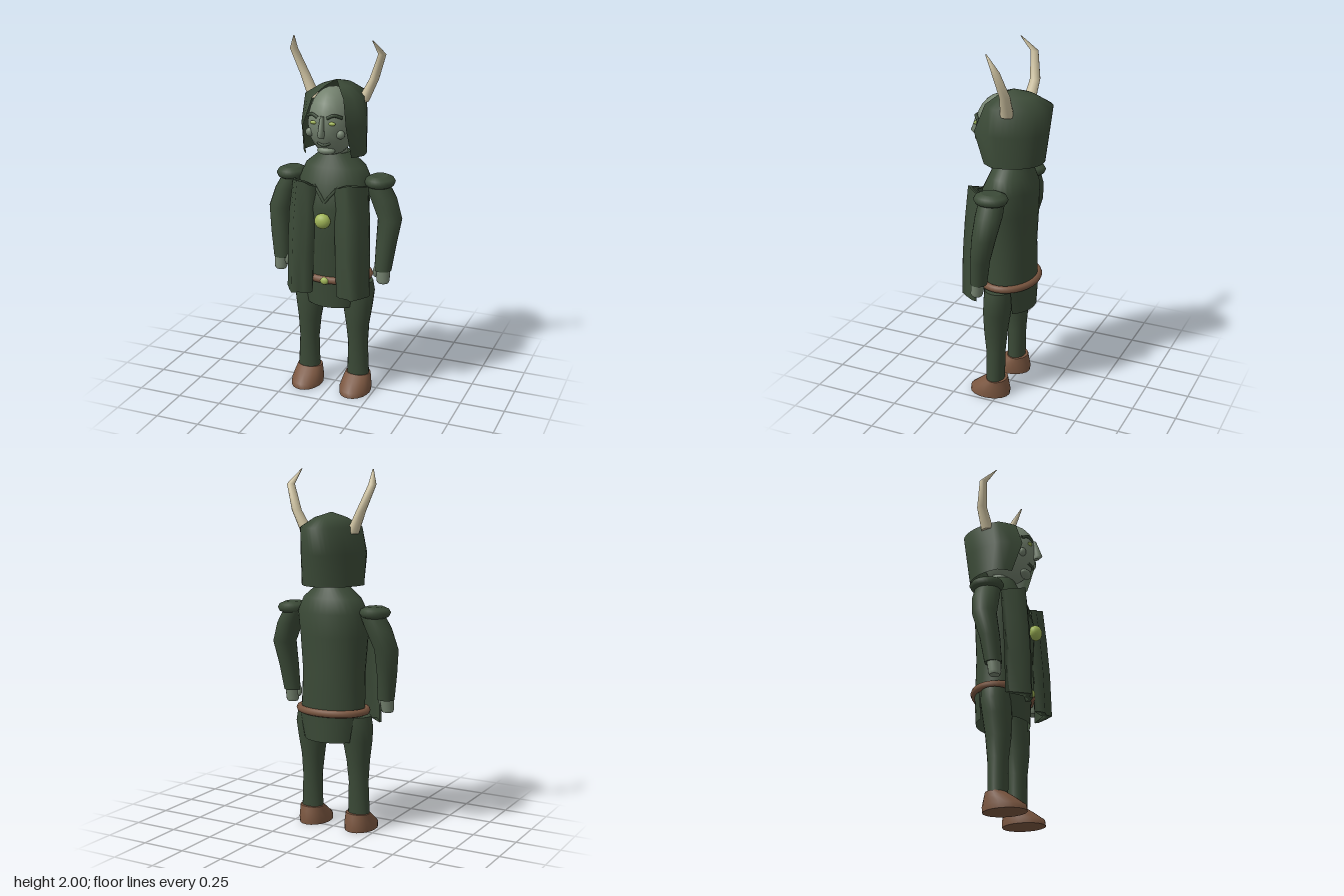
import * as THREE from 'three';

const mat = (name, color, side = THREE.FrontSide) => {
  const m = new THREE.MeshStandardMaterial({ color, side });
  m.name = name;
  return m;
};

// Skin a surface over rows of points (bottom to top); closed rows also get end caps
function loft(rows, closed = true) {
  const n = rows[0].length, pos = [], idx = [];
  const add = (p) => pos.push(p.x, p.y, p.z) / 3 - 1;
  rows.forEach((r) => r.forEach(add));
  for (let i = 0; i < rows.length - 1; i++) {
    for (let j = 0; j < (closed ? n : n - 1); j++) {
      const k = (j + 1) % n, a = i * n + j, b = i * n + k, c = b + n, d = a + n;
      idx.push(a, d, c, a, c, b);
    }
  }
  if (closed) {
    [rows[0], rows[rows.length - 1]].forEach((row, top) => {
      const mid = new THREE.Vector3();
      row.forEach((p) => mid.addScaledVector(p, 1 / n));
      const c = add(mid), first = c + 1;
      row.forEach(add);
      for (let j = 0; j < n; j++) {
        const a = first + j, b = first + (j + 1) % n;
        if (top) idx.push(c, b, a); else idx.push(c, a, b);
      }
    });
  }
  const g = new THREE.BufferGeometry();
  g.setAttribute('position', new THREE.Float32BufferAttribute(pos, 3));
  g.setIndex(idx);
  g.computeVertexNormals();
  return g;
}

const V = (x, y, z) => new THREE.Vector3(x, y, z);

// Stack of horizontal ellipses: [y, centre x, centre z, radius x, radius z]
const stack = (rows, s = 1, n = 20) => loft(rows.map(([y, cx, cz, rx, rz]) =>
  Array.from({ length: n }, (_, j) => {
    const t = (j / n) * Math.PI * 2;
    return V(s * cx + rx * Math.cos(t), y, cz + rz * Math.sin(t));
  })));

export function createModel() {
  const model = new THREE.Group();
  model.name = 'hornedFigure';
  const cloth = mat('dark green cloth', 0x3b4a37, THREE.DoubleSide);
  const skin = mat('grey green skin', 0x74826f);
  const leather = mat('brown leather', 0x7a5640);
  const horn = mat('bone horn', 0xcfc3a2);
  const glow = mat('yellow green', 0x9fb457);

  const put = (name, geo, material, x = 0, y = 0, z = 0) => {
    const m = new THREE.Mesh(geo, material);
    m.name = name;
    m.position.set(x, y, z);
    model.add(m);
    return m;
  };
  const blob = (name, material, x, y, z, rx, ry, rz) =>
    put(name, new THREE.SphereGeometry(1, 20, 14).scale(rx, ry, rz), material, x, y, z);
  const tube = (name, material, pts, r) =>
    put(name, new THREE.TubeGeometry(new THREE.CatmullRomCurve3(pts), 12, r, 8), material);

  // Torso
  put('torso', stack([
    [0.6, 0, 0, 0.13, 0.09], [0.65, 0, 0, 0.18, 0.135], [0.7, 0, 0, 0.185, 0.145],
    [0.9, 0, 0.01, 0.18, 0.152], [1.1, 0, 0.012, 0.195, 0.162], [1.23, 0, -0.005, 0.205, 0.145],
    [1.31, 0, -0.01, 0.17, 0.112], [1.385, 0, -0.008, 0.08, 0.076],
  ], 1, 32), cloth);

  // Belt, buckle, brooch and neckline
  put('belt', new THREE.TorusGeometry(1, 0.022, 10, 48), leather);
  const belt = model.children[model.children.length - 1].geometry;
  belt.dispose();
  const loop = Array.from({ length: 32 }, (_, j) => {
    const t = (j / 32) * Math.PI * 2;
    return V(0.195 * Math.cos(t), 0.685, 0.148 * Math.sin(t));
  });
  model.children[model.children.length - 1].geometry =
    new THREE.TubeGeometry(new THREE.CatmullRomCurve3(loop, true), 48, 0.021, 8, true);
  blob('buckle', glow, 0, 0.685, 0.166, 0.024, 0.02, 0.014);
  blob('brooch', glow, 0, 1.04, 0.19, 0.045, 0.042, 0.035);
  for (const s of [-1, 1]) {
    tube('neckline', cloth, [V(s * 0.07, 1.22, 0.132), V(s * 0.035, 1.18, 0.15), V(0, 1.135, 0.163)], 0.008);
  }

  // Front and back skirt panels
  for (const [name, mid] of [['frontSkirt', Math.PI / 2], ['backSkirt', -Math.PI / 2]]) {
    const row = (y, rx, rz) => Array.from({ length: 13 }, (_, j) => {
      const t = mid + (j / 12 - 0.5) * 2.1;
      return V(rx * Math.cos(t), y, rz * Math.sin(t));
    });
    put(name, loft([row(0.52, 0.165, 0.143), row(0.69, 0.2, 0.148)], false), cloth);
  }

  for (const s of [-1, 1]) {
    const side = s > 0 ? 'left' : 'right';

    // Legs and boots
    put(side + 'Leg', stack([
      [0.08, 0.15, 0.027, 0.064, 0.05], [0.28, 0.148, 0.026, 0.056, 0.055], [0.4, 0.145, 0.027, 0.065, 0.068],
      [0.52, 0.143, 0.02, 0.085, 0.078], [0.6, 0.14, 0.012, 0.096, 0.082], [0.66, 0.13, 0.01, 0.095, 0.08],
    ], s), cloth);
    put(side + 'Boot', stack([
      [0, 0.147, 0.063, 0.087, 0.118], [0.03, 0.147, 0.06, 0.088, 0.117],
      [0.07, 0.147, 0.038, 0.08, 0.086], [0.1, 0.148, 0.02, 0.072, 0.06],
    ], s), leather);

    // Arm, shoulder cap and hand
    put(side + 'Arm', stack([
      [0.755, 0.3, 0.055, 0.047, 0.045], [0.9, 0.312, 0.04, 0.056, 0.054], [1.04, 0.322, 0.012, 0.066, 0.066],
      [1.15, 0.28, 0.002, 0.072, 0.074], [1.24, 0.235, 0, 0.065, 0.07],
    ], s), cloth);
    put(side + 'ShoulderCap', stack([
      [1.208, 0.258, 0, 0.05, 0.06], [1.22, 0.258, 0, 0.074, 0.085], [1.24, 0.258, 0, 0.083, 0.095],
      [1.258, 0.257, 0, 0.074, 0.085], [1.272, 0.255, 0, 0.045, 0.055],
    ], s, 28), cloth);
    put(side + 'Hand', stack([
      [0.685, 0.305, 0.065, 0.03, 0.028], [0.7, 0.305, 0.065, 0.037, 0.034], [0.77, 0.303, 0.058, 0.04, 0.036],
    ], s, 14), skin);
    blob(side + 'Thumb', skin, s * 0.263, 0.745, 0.07, 0.015, 0.032, 0.016);

    // Folded cloak panel hanging in front of the shoulder
    const panel = (y, inner, outer, z, slope) => {
      const folds = [-0.02, 0.005, 0, 0.022, -0.022, -0.075];
      const front = folds.map((f, j) => V(s * (inner + (outer - inner) * j / 5), y - slope * Math.abs(j - 3), z + f));
      const back = front.map((p) => V(p.x, p.y, p.z - 0.024)).reverse();
      const ring = [...front, ...back];
      return s > 0 ? ring.reverse() : ring;
    };
    put(side + 'CloakPanel', loft([
      panel(0.61, 0.075, 0.24, 0.198, 0), panel(0.85, 0.065, 0.238, 0.193, 0),
      panel(1.05, 0.058, 0.232, 0.18, 0), panel(1.25, 0.052, 0.215, 0.163, 0.012),
    ]), cloth);

    // Horn
    put(side + 'Horn', stack([
      [1.66, 0.14, -0.042, 0.034, 0.036], [1.78, 0.198, -0.055, 0.026, 0.029],
      [1.92, 0.251, -0.028, 0.022, 0.021], [2.0, 0.221, 0.038, 0.003, 0.004],
    ], s, 12), horn);

    // Eye, brow and cheek
    blob(side + 'Eye', glow, s * 0.052, 1.577, 0.181, 0.02, 0.01, 0.01);
    tube(side + 'Brow', cloth, [V(s * 0.025, 1.605, 0.186), V(s * 0.06, 1.62, 0.176), V(s * 0.097, 1.605, 0.147)], 0.009);
    blob(side + 'Cheek', skin, s * 0.087, 1.515, 0.148, 0.024, 0.024, 0.02);
  }

  // Head with nose, mouth and chin
  blob('head', skin, 0, 1.56, 0.035, 0.13, 0.185, 0.16);
  put('neck', new THREE.CylinderGeometry(0.065, 0.07, 0.12, 20), skin, 0, 1.41, 0);
  put('nose', stack([
    [1.5, 0, 0.2, 0.013, 0.016], [1.515, 0, 0.208, 0.017, 0.028],
    [1.56, 0, 0.2, 0.014, 0.02], [1.615, 0, 0.188, 0.01, 0.012],
  ], 1, 12), skin);
  tube('mouth', cloth, [V(-0.036, 1.465, 0.163), V(0, 1.456, 0.176), V(0.036, 1.465, 0.163)], 0.007);
  blob('chin', skin, 0, 1.418, 0.135, 0.05, 0.022, 0.03);

  // Open-fronted hood: [y, half width, centre z, back z, opening half width, opening z]
  put('hood', loft([
    [1.38, 0.175, 0.03, -0.19, 0.13, 0.1], [1.55, 0.176, 0.05, -0.215, 0.122, 0.16],
    [1.695, 0.162, 0.03, -0.236, 0.088, 0.11], [1.745, 0.085, 0.0, -0.14, 0.04, 0.05],
    [1.772, 0.002, -0.02, -0.024, 0.001, -0.015],
  ].map(([y, w, zc, back, ex, ez]) => {
    const lip = [0, 0.5].map((f) => [ex + (w - ex) * f * 1.15, ez + (zc - ez) * f]);
    const arc = Array.from({ length: 25 }, (_, j) => {
      const t = Math.PI * (1 + j / 24);
      return V(w * Math.cos(t), y, zc + (zc - back) * Math.sin(t));
    });
    return [...lip.map(([x, z]) => V(-x, y, z)), ...arc, ...lip.reverse().map(([x, z]) => V(x, y, z))];
  }), false), cloth);

  return model;
}
